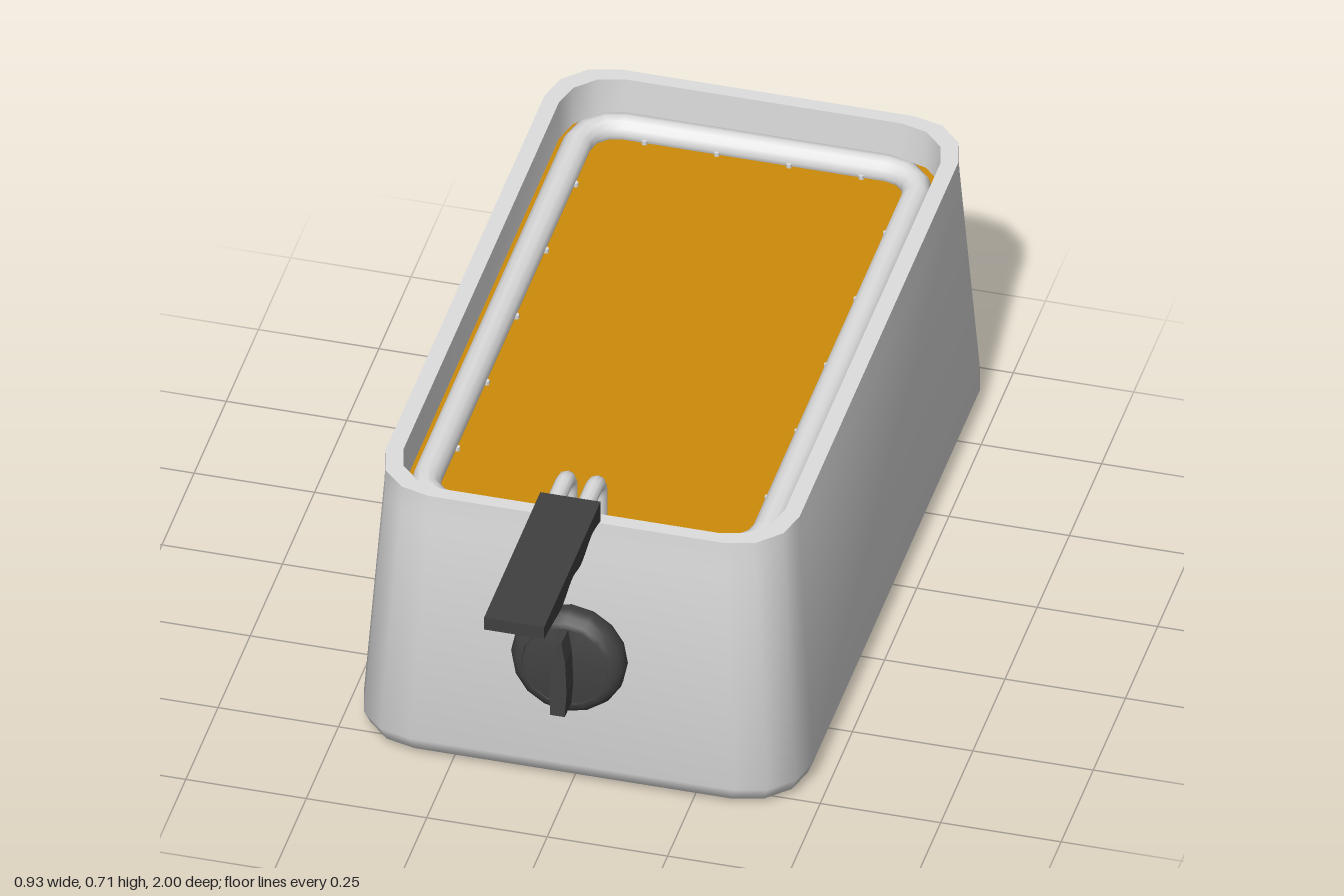
import * as THREE from 'three';
import { toCreasedNormals } from 'three/addons/utils/BufferGeometryUtils.js';

const mat = (name, color) => new THREE.MeshStandardMaterial({ name, color });

// Outline of a rounded rectangle, running from +x towards +z
function outline(hw, hd, r, seg = 3) {
  const pts = [];
  [[1, 1], [-1, 1], [-1, -1], [1, -1]].forEach(([sx, sz], q) => {
    for (let i = 0; i <= seg; i++) {
      const a = (q + i / seg) * Math.PI / 2;
      pts.push([sx * (hw - r) + r * Math.cos(a), sz * (hd - r) + r * Math.sin(a)]);
    }
  });
  return pts;
}

// Flat rounded rectangle, facing up or down
function plate(hw, hd, r, up) {
  const shape = new THREE.Shape(outline(hw, hd, r).map(p => new THREE.Vector2(...p)));
  return new THREE.ShapeGeometry(shape).rotateX(up ? -Math.PI / 2 : Math.PI / 2);
}

// Skin over rounded-rectangle rings, each given as [halfWidth, halfDepth, radius, y]
function loft(rings, crease) {
  const pos = [], idx = [];
  let n = 0;
  for (const [hw, hd, r, y] of rings) {
    const pts = outline(hw, hd, r);
    n = pts.length;
    pts.forEach(([x, z]) => pos.push(x, y, z));
  }
  for (let j = 0; j < rings.length - 1; j++) {
    for (let i = 0; i < n; i++) {
      const a = j * n + i, b = j * n + (i + 1) % n;
      idx.push(a, a + n, b, b, a + n, b + n);
    }
  }
  const g = new THREE.BufferGeometry();
  g.setAttribute('position', new THREE.Float32BufferAttribute(pos, 3));
  g.setIndex(idx);
  return toCreasedNormals(g, crease);
}

export function createModel() {
  const model = new THREE.Group();
  model.name = 'deepFryer';
  const steel = mat('brushed steel', 0xdedede);
  const plastic = mat('dark plastic', 0x404040);
  const oilColor = mat('frying oil', 0xcd8c0a);

  const add = (name, geo, material, parent = model) => {
    const m = new THREE.Mesh(geo, material);
    m.name = name;
    parent.add(m);
    return m;
  };

  // Tapered housing with rounded foot, thick rim and inner wall
  const housing = loft([
    [0.36, 0.675, 0.08, 0],
    [0.434, 0.749, 0.11, 0.001],
    [0.454, 0.768, 0.125, 0.014],
    [0.466, 0.78, 0.13, 0.045],
    [0.431, 0.744, 0.125, 0.565],
    [0.43, 0.743, 0.125, 0.63],
    [0.396, 0.713, 0.11, 0.63],
    [0.395, 0.712, 0.11, 0.5],
  ], 0.9);
  add('housing', housing, steel).position.z = -0.22;
  add('base', plate(0.36, 0.675, 0.08, false), steel).position.z = -0.22;

  // Oil surface
  add('oil', plate(0.396, 0.713, 0.11, true), oilColor).position.set(0, 0.541, -0.22);

  // Basket: round rim swept about a rounded rectangle, with wire tips inside it
  const basket = new THREE.Group();
  basket.name = 'basket';
  basket.position.set(0, 0.552, -0.217);
  model.add(basket);
  const rim = [];
  for (let i = 0; i <= 12; i++) {
    const a = i / 12 * Math.PI * 2, c = 0.03 * Math.cos(a);
    rim.push([0.352 + c, 0.662 + c, 0.08 + c, 0.03 * Math.sin(a)]);
  }
  add('basketRim', loft(rim, 1.2), steel, basket);
  const tip = new THREE.CylinderGeometry(0.006, 0.006, 0.024, 6);
  for (const s of [-1, 1]) {
    for (let i = -2; i <= 2; i++) add('sideWire', tip, steel, basket).position.set(s * 0.322, -0.014, i * 0.23);
    for (let i = -1.5; i <= 1.5; i++) add('endWire', tip, steel, basket).position.set(i * 0.15, -0.014, s * 0.632);
  }

  // Two bent rods carrying the grip
  for (const x of [-0.034, 0.028]) {
    const path = new THREE.CurvePath();
    const v = (y, z) => new THREE.Vector3(x, y, z);
    path.add(new THREE.LineCurve3(v(0.55, 0.455), v(0.65, 0.455)));
    path.add(new THREE.QuadraticBezierCurve3(v(0.65, 0.455), v(0.694, 0.455), v(0.694, 0.5)));
    path.add(new THREE.LineCurve3(v(0.694, 0.5), v(0.694, 0.6)));
    add('handleRod', new THREE.TubeGeometry(path, 24, 0.018, 10), steel);
  }

  // Grip with finger waves underneath
  const gripShape = new THREE.Shape();
  gripShape.moveTo(0.562, 0.714);
  gripShape.lineTo(0.562, 0.666);
  gripShape.splineThru([[0.63, 0.679], [0.71, 0.666], [0.78, 0.679], [0.86, 0.666], [0.93, 0.675],
    [1.0, 0.685]].map(p => new THREE.Vector2(...p)));
  gripShape.lineTo(1.0, 0.714);
  const gripGeo = new THREE.ExtrudeGeometry(gripShape, { depth: 0.125, bevelEnabled: false, curveSegments: 24 });
  gripGeo.translate(0, 0, -0.0625).rotateY(-Math.PI / 2);
  add('handleGrip', toCreasedNormals(gripGeo, 0.6), plastic).position.x = -0.002;

  // Control knob, leaning with the front wall
  const knob = new THREE.Group();
  knob.name = 'knob';
  knob.position.set(-0.006, 0.307, 0.54);
  knob.rotation.x = -0.066;
  model.add(knob);
  const profile = [[0.1, -0.02], [0.118, 0], [0.119, 0.022], [0.113, 0.038], [0.1, 0.049],
    [0.09, 0.052], [0.089, 0.05], [0, 0.05]].map(p => new THREE.Vector2(...p));
  const dial = new THREE.LatheGeometry(profile, 16).rotateX(Math.PI / 2);
  add('knobDial', toCreasedNormals(dial, 0.7), plastic, knob);

  // Finger ridge, narrow at the top
  const ridge = new THREE.Shape([[-0.015, -0.086], [0.015, -0.086], [0.018, -0.03], [0.014, 0.04],
    [0.005, 0.088], [-0.005, 0.088], [-0.014, 0.04], [-0.018, -0.03]].map(p => new THREE.Vector2(...p)));
  const ridgeGeo = new THREE.ExtrudeGeometry(ridge, { depth: 0.06, bevelEnabled: false });
  add('knobRidge', ridgeGeo, plastic, knob).position.z = 0.043;

  return model;
}
